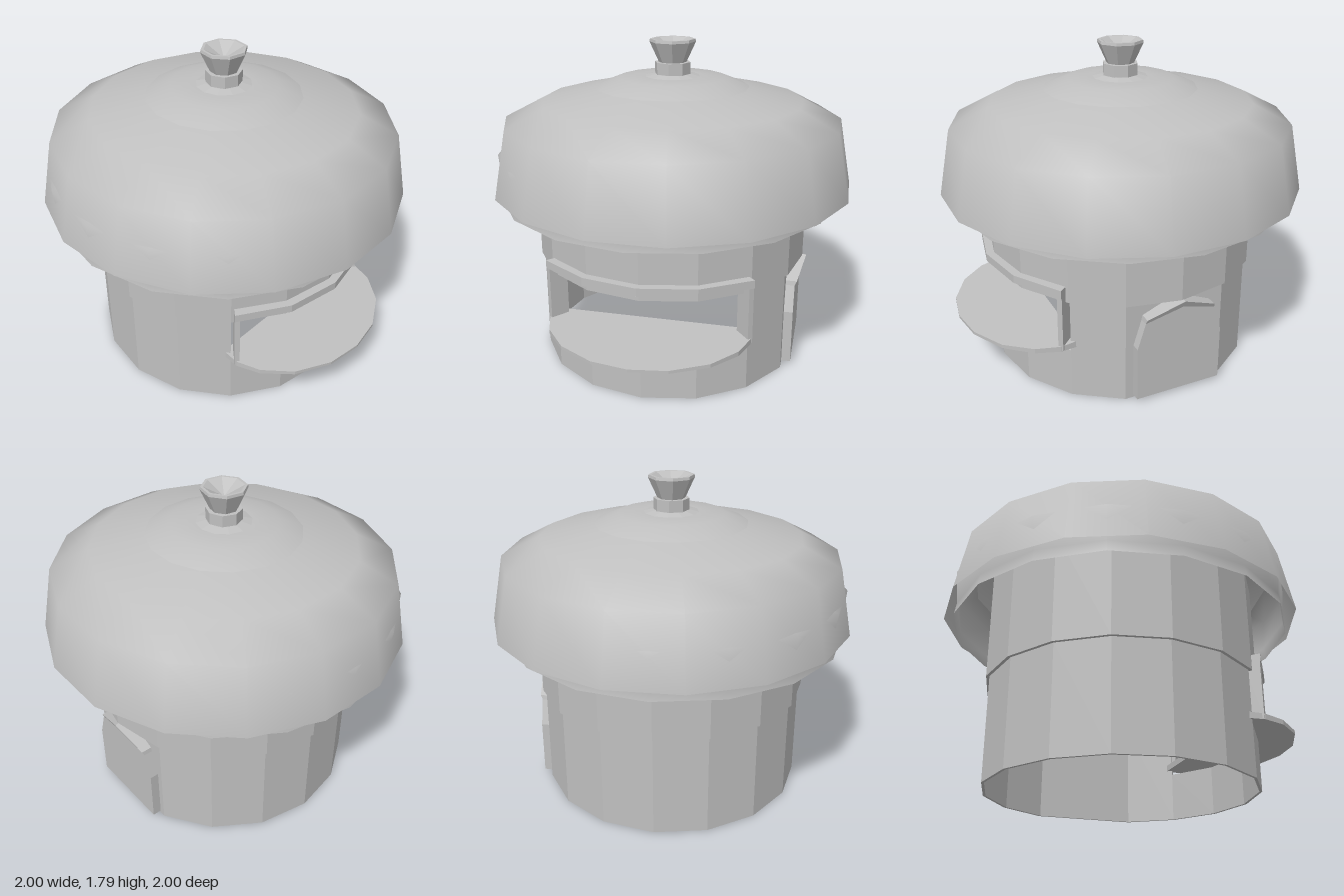
import * as THREE from 'three';

const smooth = new THREE.MeshStandardMaterial({ name: 'smooth grey', color: 0xc0c0c0, side: THREE.DoubleSide });
const grey = smooth.clone();
grey.name = 'faceted grey';
grey.flatShading = true;

const V = (x, y) => new THREE.Vector2(x, y);
const FACET = 22.5;

function add(parent, name, geometry, material = grey) {
  const mesh = new THREE.Mesh(geometry, material);
  mesh.name = name;
  parent.add(mesh);
  return mesh;
}

// Upright curved slab between two radii; angles in degrees, 0 = front, 90 = left side
function arcSlab(rIn, rOut, y0, y1, a0, a1, n) {
  const pts = [];
  const at = (r, i) => {
    const a = THREE.MathUtils.degToRad(a0 + ((a1 - a0) * i) / n);
    return V(r * Math.sin(a), -r * Math.cos(a));
  };
  for (let i = 0; i <= n; i++) pts.push(at(rOut, i));
  for (let i = n; i >= 0; i--) pts.push(at(rIn, i));
  return new THREE.ExtrudeGeometry(new THREE.Shape(pts), { depth: y1 - y0, bevelEnabled: false })
    .rotateX(-Math.PI / 2).translate(0, y0, 0);
}

// Outline drawn in (-z, y), extruded along +x
function sidePlate(points, x0, depth) {
  return new THREE.ExtrudeGeometry(new THREE.Shape(points), { depth, bevelEnabled: false })
    .rotateY(Math.PI / 2).translate(x0, 0, 0);
}

export function createModel() {
  const model = new THREE.Group();
  model.name = 'mushroomKiosk';

  // Hollow sixteen-sided body, cut away for the window and the door
  const body = new THREE.Group();
  body.name = 'body';
  body.position.z = 0.007;
  model.add(body);
  add(body, 'wallUnderWindow', arcSlab(0.735, 0.75, 0, 0.28, -2 * FACET, 2 * FACET, 4));
  add(body, 'wallBesideDoor', arcSlab(0.735, 0.75, 0, 0.58, 2 * FACET, 3 * FACET, 1));
  add(body, 'wallBehindDoor', arcSlab(0.735, 0.75, 0, 0.58, 3 * FACET, 5 * FACET, 1));
  add(body, 'backWall', arcSlab(0.735, 0.75, 0, 0.58, 5 * FACET, 14 * FACET, 9));
  for (const start of [0, 180]) {
    add(body, 'upperBand', arcSlab(0.745, 0.768, 0.58, 1.2, start, start + 180, 8));
  }

  // Window frame
  add(model, 'windowLintel', arcSlab(0.74, 0.82, 0.625, 0.67, -43.5, 43.5, 4));
  for (const s of [-1, 1]) {
    add(model, 'windowJamb', arcSlab(0.71, 0.815, 0.31, 0.67, s * 41.5, s * 43.5, 1));
  }

  // Half-moon serving counter
  const half = [V(0.545, 0.5), V(0.555, 0.6), V(0.51, 0.73), V(0.39, 0.87), V(0.2, 0.97)];
  const outline = [...half, V(0, 1), ...half.map((p) => V(-p.x, p.y)).reverse()];
  const counter = new THREE.ExtrudeGeometry(new THREE.Shape(outline.map((p) => V(p.x, -p.y))),
    { depth: 0.03, bevelEnabled: false }).rotateX(-Math.PI / 2).translate(0, 0.305, 0);
  // Thin the counter towards its front edge
  const cp = counter.attributes.position;
  for (let i = 0; i < cp.count; i++) {
    if (cp.getY(i) > 0.31) cp.setY(i, 0.34 - 0.04 * (cp.getZ(i) - 0.5));
  }
  counter.computeVertexNormals();
  add(model, 'counter', counter);

  // Arched door with a flared hood
  add(model, 'door', sidePlate([V(-0.25, 0.02), V(0.25, 0.02), V(0.25, 0.33), V(0.2, 0.49),
    V(0, 0.56), V(-0.2, 0.49), V(-0.25, 0.33)], 0.695, 0.05));
  const hood = sidePlate([V(-0.205, 0.475), V(0, 0.545), V(0.205, 0.475), V(0.2, 0.5),
    V(0, 0.582), V(-0.2, 0.5)], 0.695, 0.05);
  const hp = hood.attributes.position;
  for (let i = 0; i < hp.count; i++) {
    if (hp.getX(i) > 0.72) hp.setX(i, 0.745 + 0.43 * (hp.getY(i) - 0.475));
  }
  hood.computeVertexNormals();
  add(model, 'doorHood', hood);

  // Domed cap; the half-facet turn puts flats on the axes
  const k = 1 / Math.cos(Math.PI / 16);
  const dome = [V(1, 0.98), V(0.93, 1.35), V(0.72, 1.46), V(0.42, 1.53)];
  const crown = [V(0.42, 1.53), V(0.29, 1.583), V(0.16, 1.588), V(0, 1.59)];
  const turned = (pts) => new THREE.LatheGeometry(pts.map((p) => V(p.x * k, p.y)), 16).rotateY(Math.PI / 16);
  add(model, 'roofDome', turned(dome), smooth);
  add(model, 'roofCrown', turned(crown), smooth);

  // Inner skirt hanging slightly off centre below the cap
  const skirt = add(model, 'roofSkirt', new THREE.LatheGeometry(
    [V(0.958, 0.915), V(0.947, 0.98), V(0.966, 1.172), V(0.86, 1.2)], 16), smooth);
  skirt.position.set(-0.02, 0, -0.008);

  // Finial: collar, stem and flared cup with a hollow top
  const finial = new THREE.Group();
  finial.name = 'finial';
  model.add(finial);
  add(finial, 'collar', new THREE.CylinderGeometry(0.1, 0.165, 0.015, 12).translate(0, 1.593, 0));
  add(finial, 'stem', new THREE.CylinderGeometry(0.1, 0.1, 0.065, 8).translate(0, 1.632, 0));
  add(finial, 'cup', new THREE.LatheGeometry(
    [V(0, 1.66), V(0.075, 1.66), V(0.128, 1.775), V(0.125, 1.79), V(0.11, 1.79), V(0, 1.73)], 8).rotateY(0.2));

  return model;
}
